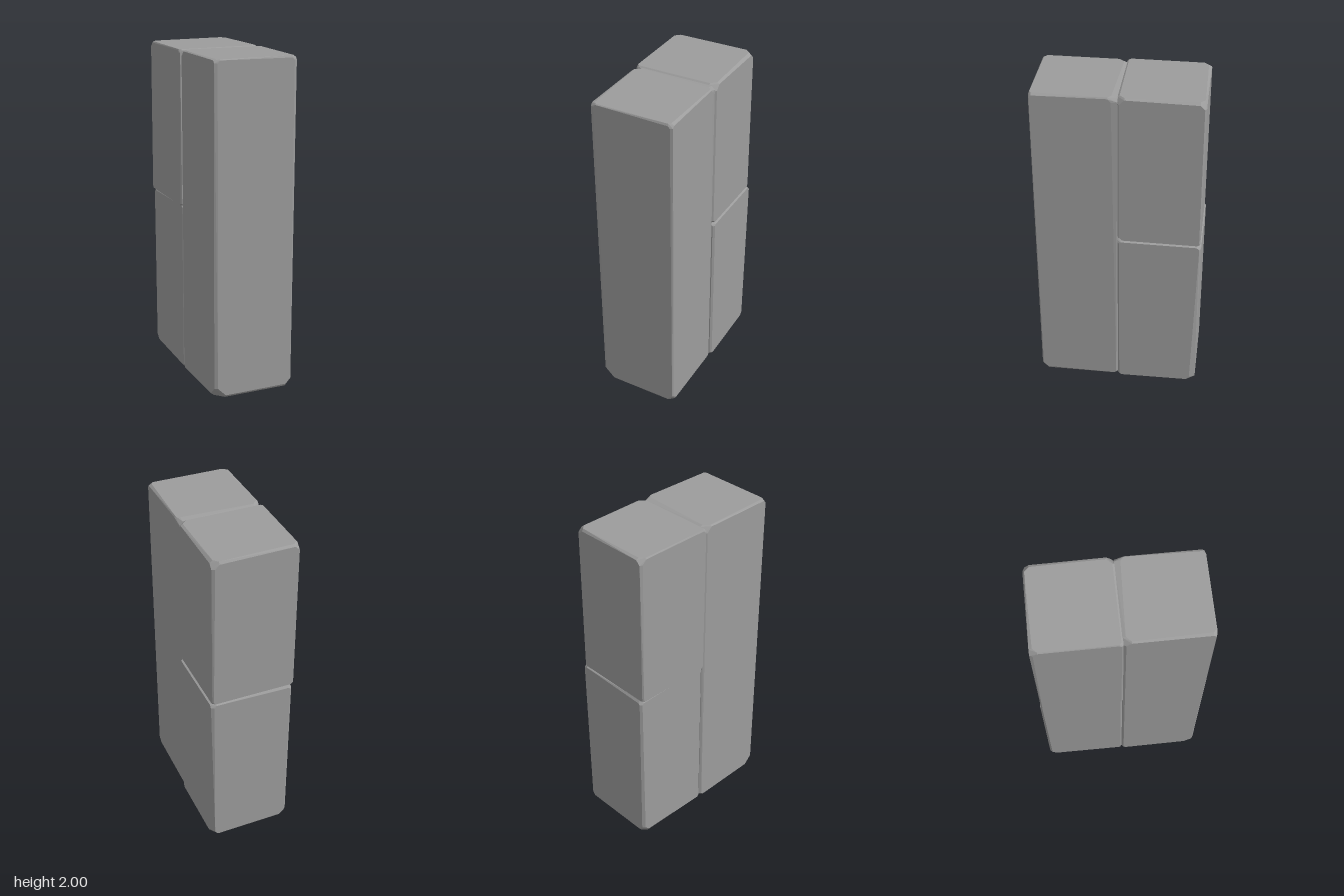
import * as THREE from 'three';
import { ConvexGeometry } from 'three/addons/geometries/ConvexGeometry.js';

const stone = new THREE.MeshStandardMaterial({ color: 0x9c9c9c, flatShading: true });

// Corner order: x slowest, then y, then z; negative before positive.
// Each corner lists its edge bevels along x, y and z, then how far the tip is chipped off.
function stoneBlock(name, min, max, corners) {
  const points = [];
  corners.forEach((corner, i) => {
    const chip = corner[3];
    const high = [i & 4, i & 2, i & 1];
    // two points on each of the three faces that meet at this corner
    for (let face = 0; face < 3; face++) {
      for (const chipped of [(face + 1) % 3, (face + 2) % 3]) {
        points.push(new THREE.Vector3(...high.map((h, a) => {
          const inset = a === face ? 0 : corner[a] + (a === chipped ? chip : 0);
          return h ? max[a] - inset : min[a] + inset;
        })));
      }
    }
  });
  const mesh = new THREE.Mesh(new ConvexGeometry(points), stone);
  mesh.name = name;
  return mesh;
}

export function createModel() {
  const group = new THREE.Group();
  group.name = 'stoneBlocks';

  // Full-height block at the front
  group.add(stoneBlock('frontBlock', [-0.255, 0, 0], [0.247, 2, 0.495], [
    [0.012, 0.01, 0.012, 0.015], [0.02, 0.015, 0.012, 0.05],
    [0.01, 0.006, 0.018, 0.03], [0.018, 0.005, 0.006, 0.015],
    [0.01, 0.01, 0.012, 0.012], [0.008, 0.014, 0.008, 0.03],
    [0.006, 0.008, 0.035, 0.02], [0.016, 0.012, 0.006, 0.012],
  ]));

  // Lower block at the back
  group.add(stoneBlock('lowerBackBlock', [-0.25, 0, -0.495], [0.26, 1.061, 0], [
    [0.015, 0.02, 0.015, 0.03], [0.012, 0.01, 0.01, 0.01],
    [0.012, 0.016, 0.012, 0.01], [0.01, 0.005, 0.01, 0.01],
    [0.02, 0.015, 0.035, 0.02], [0.012, 0.01, 0.01, 0.012],
    [0.018, 0.006, 0.01, 0.015], [0.012, 0.004, 0.01, 0.01],
  ]));

  // Upper block at the back
  group.add(stoneBlock('upperBackBlock', [-0.262, 1.058, -0.488], [0.25, 2, 0.003], [
    [0.008, 0.005, 0.008, 0.01], [0.008, 0.005, 0.008, 0.01],
    [0.006, 0.008, 0.018, 0.025], [0.004, 0.008, 0.01, 0.012],
    [0.008, 0.004, 0.006, 0.01], [0.015, 0.006, 0.01, 0.02],
    [0.018, 0.014, 0.01, 0.025], [0.014, 0.008, 0.012, 0.03],
  ]));

  return group;
}
